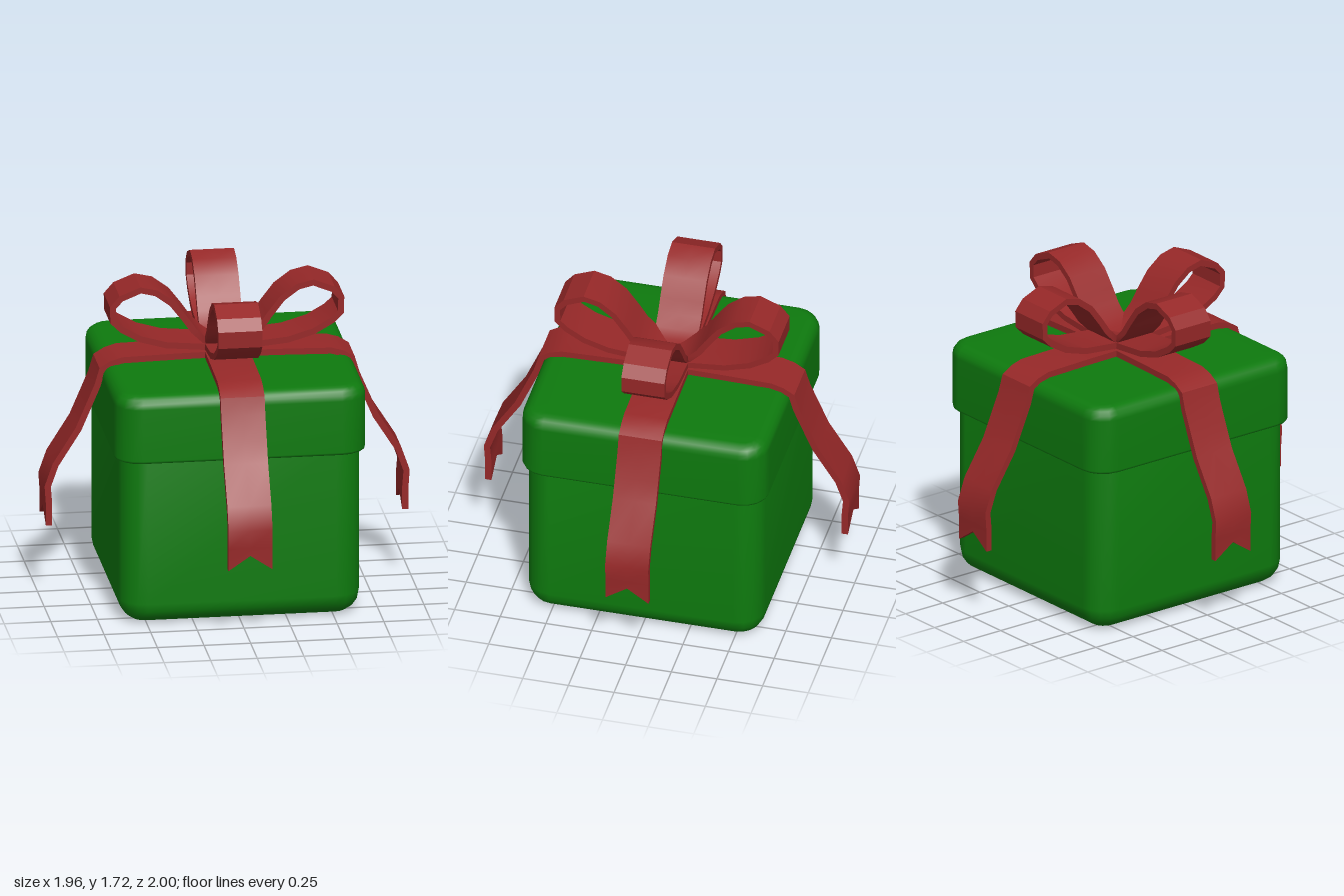
import * as THREE from 'three';
import { toCreasedNormals } from 'three/addons/utils/BufferGeometryUtils.js';

const green = new THREE.MeshStandardMaterial({ color: 0x0e7a0e });
const red = new THREE.MeshStandardMaterial({ color: 0x962828 });

// Skins a list of equal-length rings (counter-clockwise along the sweep) and caps both ends.
function loft(rings) {
  const n = rings[0].length;
  const last = (rings.length - 1) * n;
  const index = [];
  for (let i = 0; i < rings.length - 1; i++) {
    for (let j = 0; j < n; j++) {
      const a = i * n + j, b = i * n + (j + 1) % n;
      index.push(a, b, b + n, a, b + n, a + n);
    }
  }
  for (let k = 2; k < n; k++) {
    const p = k, q = (k + 1) % n;
    index.push(1, q, p, last + 1, last + p, last + q);
  }
  const g = new THREE.BufferGeometry();
  g.setAttribute('position', new THREE.Float32BufferAttribute(rings.flat(2), 3));
  g.setIndex(index);
  g.computeVertexNormals();
  return g;
}

// Rounded square ring at height y.
function squareRing(half, radius, y, steps = 4) {
  const ring = [];
  for (let c = 0; c < 4; c++) {
    const mid = Math.PI / 4 + c * Math.PI / 2;
    const cx = Math.sign(Math.cos(mid)) * (half - radius);
    const cz = Math.sign(Math.sin(mid)) * (half - radius);
    for (let s = 0; s <= steps; s++) {
      const a = (c + s / steps) * Math.PI / 2;
      ring.push([cx + radius * Math.cos(a), y, -(cz + radius * Math.sin(a))]);
    }
  }
  return ring;
}

// Square block from a profile of [height, inset] pairs.
function block(name, half, radius, profile) {
  const rings = profile.map(([y, inset]) =>
    squareRing(half - inset, Math.max(radius - inset, 0.02), y));
  const mesh = new THREE.Mesh(loft(rings), green);
  mesh.name = name;
  mesh.position.set(0.006, 0, 0.004);
  return mesh;
}

// Quarter-round profile from the side wall (inset 0) to the flat; dir is +1 up, -1 down.
function quarter(y, r, dir, steps = 4) {
  const pts = [];
  for (let i = 0; i <= steps; i++) {
    const a = i / steps * Math.PI / 2;
    pts.push([y + dir * r * Math.sin(a), r * (1 - Math.cos(a))]);
  }
  return pts;
}

// Flat strip swept along a path in the xy plane; notch cuts a V into its far end.
function ribbon(path, halfWidth, notch = 0) {
  const t = 0.017;
  const rings = path.map(([x, y], i) => {
    const p = path[Math.max(i - 1, 0)], q = path[Math.min(i + 1, path.length - 1)];
    const len = Math.hypot(q[0] - p[0], q[1] - p[1]);
    const nx = -(q[1] - p[1]) / len * t, ny = (q[0] - p[0]) / len * t;
    const w = halfWidth(x);
    const lift = i === path.length - 1 ? notch : 0;
    return [
      [x + nx, y + ny, -w], [x + nx, y + ny + lift, 0], [x + nx, y + ny, w],
      [x - nx, y - ny, w], [x - nx, y - ny + lift, 0], [x - nx, y - ny, -w],
    ];
  });
  return toCreasedNormals(loft(rings), 0.45);
}

export function createModel() {
  const model = new THREE.Group();
  model.name = 'giftBox';

  // Box body and lid
  model.add(block('boxBody', 0.645, 0.14, [
    [0, 0.2], ...quarter(0.12, 0.12, -1).reverse(), [0.95, 0], [0.95, 0.06],
  ]));
  model.add(block('lid', 0.674, 0.14, [
    [0.915, 0.1], [0.915, 0.018], [0.921, 0.005], [0.933, 0],
    ...quarter(1.22, 0.07, 1), [1.29, 0.15],
  ]));

  // Ribbon tails: across the lid, over the edge and down to a swallowtail end
  const tailPath = [
    [0, 1.325], [0.27, 1.322], [0.56, 1.315], [0.62, 1.297], [0.67, 1.268], [0.695, 1.18],
    [0.75, 1.05], [0.797, 0.94], [0.92, 0.745], [0.962, 0.625], [0.955, 0.53], [0.955, 0.407],
  ];
  // Bow loops: out along the bottom, round, and back to the knot
  const loopPath = [
    [0, 1.357], [0.06, 1.362], [0.12, 1.369], [0.326, 1.388], [0.463, 1.428], [0.563, 1.485],
    [0.61, 1.53], [0.612, 1.61], [0.568, 1.66], [0.463, 1.702], [0.379, 1.682], [0.295, 1.62],
    [0.226, 1.53], [0.18, 1.463], [0.12, 1.405], [0.06, 1.375], [0, 1.362],
  ];
  const tail = ribbon(tailPath, () => 0.118, 0.08);
  const loop = ribbon(loopPath, x => Math.min(0.118, 0.05 + x * 0.58));

  ['left', 'back', 'right', 'front'].forEach((side, i) => {
    const alongZ = i % 2 === 1;
    const tailMesh = new THREE.Mesh(tail, red);
    tailMesh.name = side + 'RibbonTail';
    tailMesh.rotation.y = i * Math.PI / 2;
    tailMesh.scale.x = alongZ ? 1.022 : 1.0;
    const loopMesh = new THREE.Mesh(loop, red);
    loopMesh.name = side + 'BowLoop';
    loopMesh.rotation.y = i * Math.PI / 2;
    loopMesh.scale.x = alongZ ? 0.978 : 1.0;
    model.add(tailMesh, loopMesh);
  });

  return model;
}
